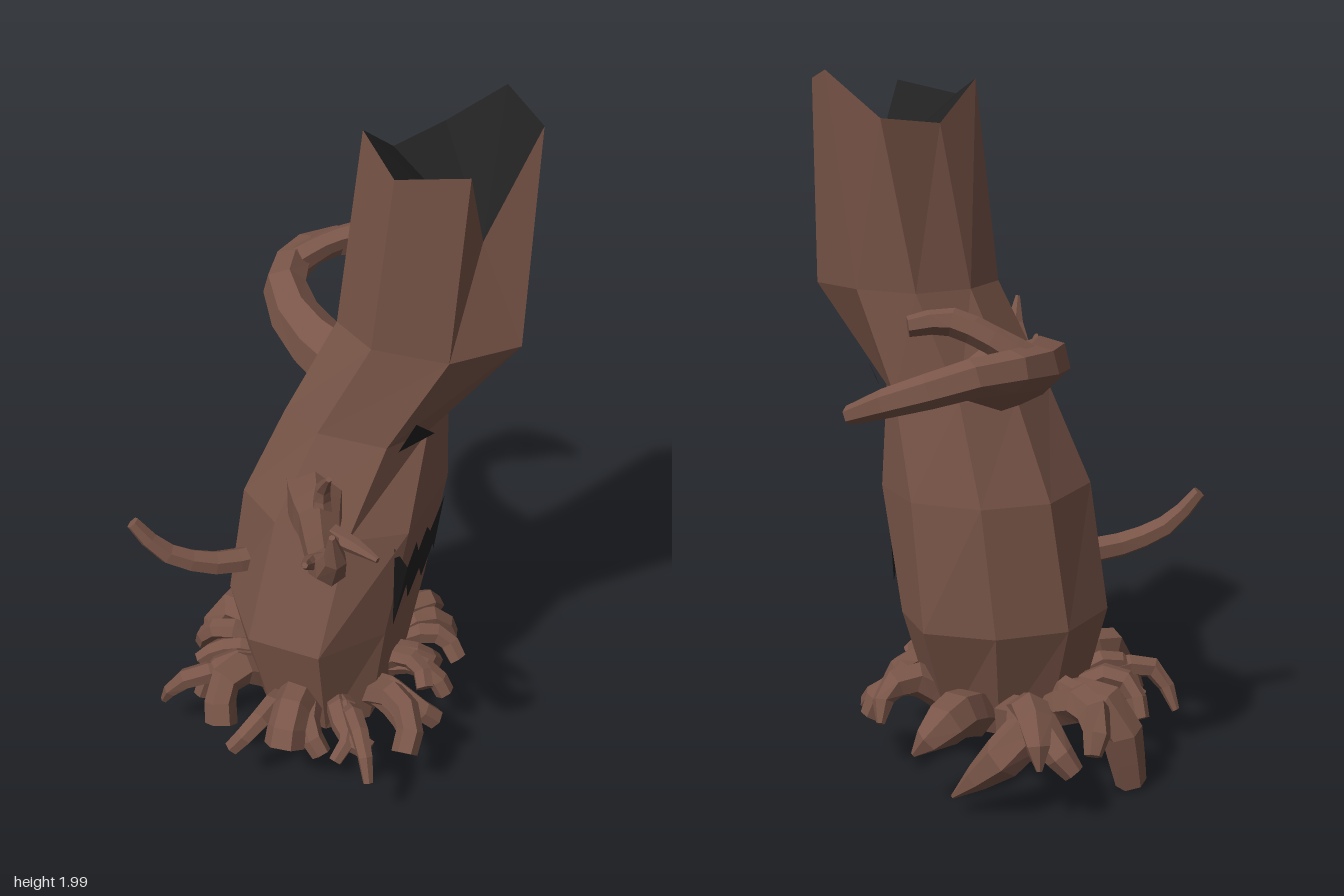
import * as THREE from 'three';

const bark = new THREE.MeshStandardMaterial({ color: 0x795548, flatShading: true });
const dark = new THREE.MeshStandardMaterial({ color: 0x212121, flatShading: true, side: THREE.DoubleSide });
const V = (x, y, z) => new THREE.Vector3(x, y, z);

// Skin a list of rings (counter-clockwise about the direction of travel), with fan caps
function loft(rings, capEnd = true) {
  const pos = [], n = rings[0].length;
  const tri = (...p) => p.forEach(v => pos.push(v.x, v.y, v.z));
  const middle = r => r.reduce((s, v) => s.add(v), V(0, 0, 0)).divideScalar(n);
  for (let k = 0; k < rings.length - 1; k++) {
    const a = rings[k], b = rings[k + 1];
    for (let i = 0; i < n; i++) {
      const j = (i + 1) % n;
      tri(a[i], a[j], b[j]);
      tri(a[i], b[j], b[i]);
    }
  }
  const first = rings[0], last = rings[rings.length - 1], c0 = middle(first), c1 = middle(last);
  for (let i = 0; i < n; i++) {
    const j = (i + 1) % n;
    tri(first[j], first[i], c0);
    if (capEnd) tri(last[i], last[j], c1);
  }
  return fromTriangles(pos);
}

function fromTriangles(pos) {
  const g = new THREE.BufferGeometry();
  g.setAttribute('position', new THREE.Float32BufferAttribute(pos, 3));
  g.computeVertexNormals();
  return g;
}

function add(parent, name, geometry, material = bark) {
  const m = new THREE.Mesh(geometry, material);
  m.name = name;
  parent.add(m);
}

// Tapering limb along a curve; radii are spread evenly over its length
function limb(points, radii, segments = 6, sides = 6) {
  const curve = new THREE.CatmullRomCurve3(points.map(p => V(...p)));
  const { normals, binormals } = curve.computeFrenetFrames(segments, false);
  const rings = [];
  for (let k = 0; k <= segments; k++) {
    const t = k / segments, c = curve.getPointAt(t), f = t * (radii.length - 1);
    const i = Math.min(Math.floor(f), radii.length - 2);
    const r = THREE.MathUtils.lerp(radii[i], radii[i + 1], f - i);
    rings.push(Array.from({ length: sides }, (_, s) => {
      const a = s / sides * Math.PI * 2;
      return c.clone().addScaledVector(normals[k], r * Math.cos(a)).addScaledVector(binormals[k], r * Math.sin(a));
    }));
  }
  return loft(rings);
}

// Root that arches out of the trunk foot to its tip, bowing sideways
function root(x, y, z, r, tipR, bow, top) {
  const cx = -.05, cz = .02;
  const at = (f, h, s) => [cx + (x - cx) * f - (z - cz) * s, h, cz + (z - cz) * f + (x - cx) * s];
  return limb([at(.45, .22, bow / 2), at(.7, top, bow), at(.9, top - .02, bow), [x, y, z]], [r, r, r * .9, tipR], 5);
}

// Trunk sections: height, then eight [x, z] corners
const sections = [
  [0.15, [[-.22, .14], [-.21, -.05], [-.1, -.14], [.06, -.15], [.16, -.07], [.16, .16], [.06, .26], [-.11, .26]]],
  [0.48, [[-.31, .13], [-.29, -.09], [-.14, -.24], [.06, -.29], [.2, -.17], [.2, .15], [.07, .33], [-.15, .33]]],
  [0.85, [[-.25, .13], [-.24, -.11], [-.1, -.25], [.1, -.28], [.26, -.17], [.26, .14], [.12, .24], [-.1, .24]]],
  [1.13, [[-.13, .1], [-.13, -.1], [-.02, -.22], [.17, -.24], [.27, -.12], [.27, .04], [.2, .165], [0, .17]]],
  [1.42, [[.01, .06], [.01, -.1], [.1, -.24], [.28, -.25], [.44, -.2], [.5, -.01], [.36, .15], [.15, .16]]],
];
const rim = [[.08, 1.97, .06], [.09, 1.86, -.12], [.17, 1.88, -.29], [.33, 2, -.3],
  [.48, 1.97, -.14], [.39, 1.71, .02], [.41, 1.955, .195], [.22, 1.92, .2]].map(p => V(...p));

// x of the trunk's face side at a given height and depth
function faceX(y, z) {
  let k = 0;
  while (k < sections.length - 2 && y > sections[k + 1][0]) k++;
  const [y0, a] = sections[k], [y1, b] = sections[k + 1], t = (y - y0) / (y1 - y0);
  const ring = a.map((p, i) => [p[0] + (b[i][0] - p[0]) * t, p[1] + (b[i][1] - p[1]) * t]);
  for (let i = 3; i < 7; i++) {
    const [xa, za] = ring[i], [xb, zb] = ring[i + 1];
    if (z >= za && z <= zb) return xa + (xb - xa) * (z - za) / (zb - za);
  }
  return ring[4][0];
}

// Dark patch laid over the face; outline given as [z, y]
function patch(outline, lift) {
  const g = new THREE.ShapeGeometry(new THREE.Shape(outline.map(p => new THREE.Vector2(-p[0], p[1]))));
  const p = g.attributes.position;
  for (let i = 0; i < p.count; i++) {
    const z = -p.getX(i), y = p.getY(i);
    p.setXYZ(i, faceX(y, z) + lift, y, z);
  }
  g.computeVertexNormals();
  return g;
}

export function createModel() {
  const tree = new THREE.Group();
  tree.name = 'hauntedTree';

  // Trunk, closed by dark facets that fan out from the notch in the rim
  const rings = sections.map(([y, c]) => c.map(([x, z]) => V(x, y, z)).reverse());
  add(tree, 'trunk', loft([...rings, [...rim].reverse()], false));
  const hollow = [];
  for (let i = 6; i < 12; i++)
    [rim[5], rim[i % 8], rim[(i + 1) % 8]].forEach(v => hollow.push(v.x, v.y, v.z));
  add(tree, 'hollow', fromTriangles(hollow), dark);

  // Face
  add(tree, 'mouth', patch([[.17, .81], [.125, .72], [.085, .785], [.04, .72], [0, .78], [-.05, .73], [-.125, .81],
    [-.175, .57], [-.12, .63], [-.07, .54], [-.02, .61], [.04, .54], [.09, .63], [.14, .51]], .015), dark);
  add(tree, 'leftEye', patch([[.155, 1.22], [.155, 1.12], [.05, 1.135]], .025), dark);
  add(tree, 'rightEye', patch([[-.205, 1.22], [-.115, 1.14], [-.21, 1.14]], .03), dark);

  // Back branch and twig
  add(tree, 'backBranch', limb([[-.05, 1.18, -.12], [-.2, 1.23, -.18], [-.31, 1.29, -.29], [-.34, 1.3, -.44],
    [-.3, 1.31, -.57], [-.2, 1.28, -.66], [-.08, 1.24, -.7], [.02, 1.2, -.7]],
    [.095, .08, .068, .06, .052, .046, .04, .024], 9));
  add(tree, 'backTwig', limb([[-.33, 1.31, -.42], [-.24, 1.37, -.46], [-.14, 1.41, -.49], [-.06, 1.4, -.55]],
    [.045, .036, .036, .026]));

  // Front branch and twigs
  add(tree, 'frontBranch', limb([[-.02, .92, .14], [.03, .95, .25], [.1, .99, .38], [.17, 1.03, .52],
    [.23, 1.07, .63], [.28, 1.14, .69], [.29, 1.25, .73]], [.095, .08, .062, .052, .045, .04, .008], 9));
  const twigs = [
    [[.1, 1.02, .36], [.1, 1.09, .36], [.14, 1.17, .41]],
    [[.17, 1.04, .46], [.24, 1.03, .47], [.31, 1.02, .49]],
    [[.23, 1.08, .61], [.2, 1.1, .66], [.21, 1.13, .71]],
  ];
  twigs.forEach(path => add(tree, 'frontTwig', limb(path, [.029, .021, .008], 4)));

  // Side branch
  add(tree, 'sideBranch', limb([[-.2, .63, .13], [-.3, .64, .23], [-.42, .7, .31], [-.5, .8, .34]],
    [.04, .037, .032, .02]));

  // Roots: tip x, tip y, tip z, thickness, tip thickness
  const roots = new THREE.Group();
  roots.name = 'roots';
  tree.add(roots);
  const frontRoots = [
    [-.46, .12, .31, .035, .012], [-.34, .17, .29, .035, .025], [-.22, .18, .39, .052, .048],
    [-.15, .17, .46, .035, .025], [0, .2, .42, .06, .06], [.1, .17, .38, .04, .03], [.16, .2, .42, .03, .02],
    [.28, .2, .46, .03, .015], [.24, .22, .36, .04, .03], [.33, .2, .31, .045, .038],
  ];
  const faceRoots = [
    [.32, .2, .23, .038, .033], [.36, .2, .14, .038, .033], [.3, .24, .07, .035, .028], [.34, .18, 0, .035, .03],
    [.28, .22, -.08, .035, .025], [.32, .17, -.17, .038, .03], [.26, .18, -.26, .045, .03],
  ];
  const backRoots = [
    [.18, .2, -.33, .05, .012], [.02, .18, -.42, .07, .008], [-.33, .18, -.35, .06, .008],
    [-.4, .16, -.28, .055, .03], [-.41, .17, -.18, .055, .025], [-.37, .2, -.09, .035, .025],
    [-.45, .02, 0, .065, .045], [-.44, .18, .08, .035, .028], [-.4, .2, .18, .035, .025],
  ];
  [...frontRoots, ...faceRoots, ...backRoots].forEach((tip, i) =>
    add(roots, 'root', root(...tip, (i % 3 - 1) * .1, .25 + (i * 7 % 5) * .012)));
  add(roots, 'sweepingRoot', root(-.08, .06, -.38, .065, .006, -.45, .26));
  return tree;
}
